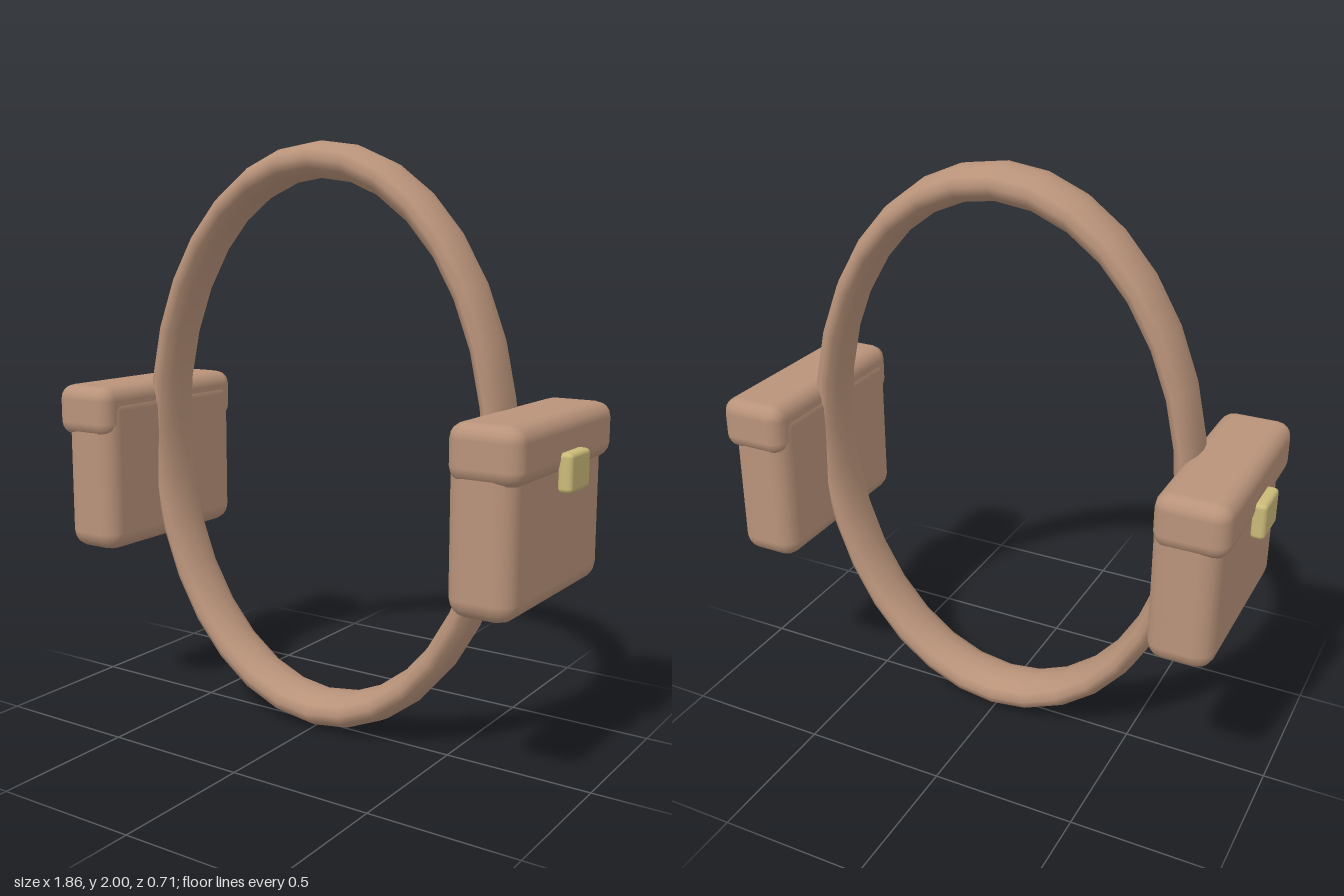
import * as THREE from 'three';
import { RoundedBoxGeometry } from 'three/addons/geometries/RoundedBoxGeometry.js';

const leather = new THREE.MeshStandardMaterial({ name: 'tan leather', color: 0xb9937a });
const brass = new THREE.MeshStandardMaterial({ name: 'pale brass', color: 0xcaba78 });

// Rounded box given by its min and max corners
function roundedBox(name, min, max, radius, material) {
  const size = max.map((v, i) => v - min[i]);
  const mesh = new THREE.Mesh(new RoundedBoxGeometry(...size, 2, radius), material);
  mesh.position.set(...max.map((v, i) => (v + min[i]) / 2));
  mesh.name = name;
  return mesh;
}

// Pouch on the +x side: body, overhanging lid and clasp
function createPouch(name) {
  const pouch = new THREE.Group();
  pouch.name = name;
  pouch.add(
    roundedBox('pouchBody', [0.652, 0.59, -0.343], [0.87, 1.15, 0.343], 0.06, leather),
    roundedBox('pouchLid', [0.656, 0.995, -0.355], [0.896, 1.175, 0.355], 0.05, leather),
    roundedBox('clasp', [0.885, 0.944, -0.073], [0.932, 1.066, 0.073], 0.015, brass)
  );
  return pouch;
}

export function createModel() {
  const model = new THREE.Group();
  model.name = 'strapWithPouches';

  // Oval strap: a torus stretched in height and width
  const strapGeometry = new THREE.TorusGeometry(1, 0.064, 12, 32);
  strapGeometry.scale(0.668, 0.938, 0.098 / 0.064);
  const strap = new THREE.Mesh(strapGeometry, leather);
  strap.name = 'strap';
  strap.position.y = 1.001;
  model.add(strap);

  // The right pouch is the left one turned half way round
  const leftPouch = createPouch('leftPouch');
  const rightPouch = createPouch('rightPouch');
  rightPouch.rotation.y = Math.PI;
  model.add(leftPouch, rightPouch);
  return model;
}
